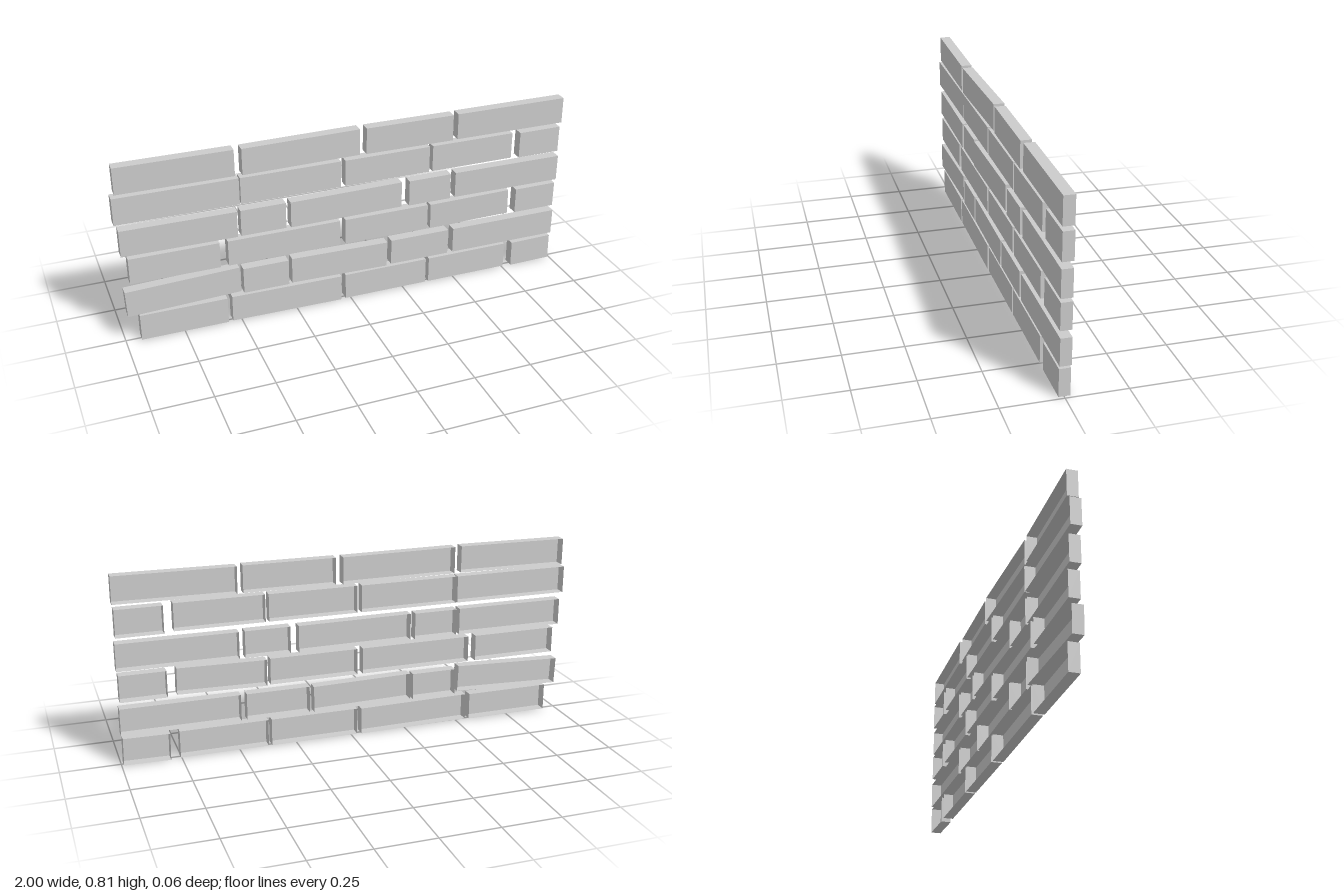
import * as THREE from 'three';

const DEPTH = 0.046;

// Each course: bottom, top, bricks as [x0, x1, tilt, yaw, lift]
const courses = [
  { y0: 0.01, y1: 0.128, bricks: [
    [-0.935, -0.56], [-0.54, -0.045, -0.01], [-0.025, 0.36], [0.375, 0.755], [0.795, 0.99, 0.015, 0, -0.003]] },
  { y0: 0.14, y1: 0.257, bricks: [
    [-0.985, -0.5, 0.036, 0, 0.003], [-0.485, -0.285], [-0.27, 0.17, -0.018], [0.19, 0.465], [0.49, 0.995]] },
  { y0: 0.288, y1: 0.403, bricks: [
    [-0.96, -0.58], [-0.545, -0.05], [-0.025, 0.36], [0.375, 0.755, 0.015, -0.01], [0.795, 0.99, 0, 0, -0.003]] },
  { y0: 0.418, y1: 0.535, bricks: [
    [-0.985, -0.5, 0, -0.01], [-0.485, -0.29], [-0.27, 0.235, 0, 0.015], [0.27, 0.465], [0.49, 0.995, 0, -0.01]] },
  { y0: 0.566, y1: 0.684, bricks: [
    [-1, -0.485], [-0.48, -0.045], [-0.025, 0.36], [0.375, 0.755], [0.795, 0.99, 0, 0, -0.006]] },
  { y0: 0.698, y1: 0.814, bricks: [
    [-0.985, -0.5, 0.004, -0.015], [-0.47, 0.04, 0, 0.02], [0.07, 0.465, 0, -0.01], [0.49, 0.995, 0.004, -0.012]] },
];

// Thin brick shell: a box without its back face
function brickShell(width, height) {
  const geometry = new THREE.BoxGeometry(width, height, DEPTH);
  geometry.setIndex(Array.from(geometry.index.array).slice(0, 30));
  geometry.clearGroups();
  return geometry;
}

export function createModel() {
  const wall = new THREE.Group();
  wall.name = 'brickWall';
  const material = new THREE.MeshStandardMaterial({
    color: 0xcccccc, flatShading: true, side: THREE.DoubleSide,
  });

  courses.forEach(({ y0, y1, bricks }, row) => {
    const course = new THREE.Group();
    course.name = `course${row + 1}`;
    bricks.forEach(([x0, x1, tilt = 0, yaw = 0, lift = 0], i) => {
      const brick = new THREE.Mesh(brickShell(x1 - x0, y1 - y0), material);
      brick.name = `brick${i + 1}`;
      brick.position.set((x0 + x1) / 2, (y0 + y1) / 2 + lift, 0);
      brick.rotation.set(0, yaw, tilt);
      course.add(brick);
    });
    wall.add(course);
  });
  return wall;
}
